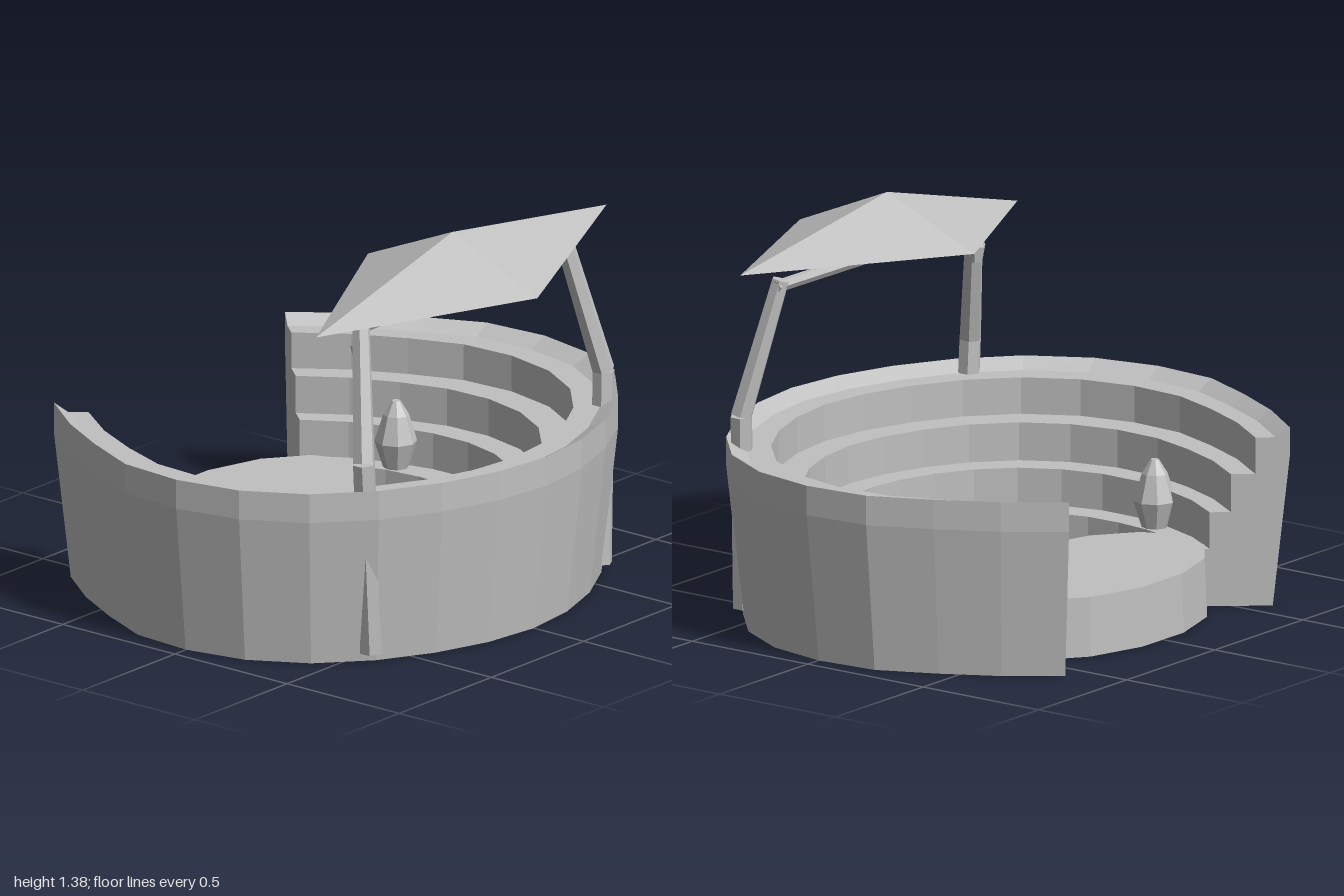
import * as THREE from 'three';
import { ConvexGeometry } from 'three/addons/geometries/ConvexGeometry.js';

const stone = new THREE.MeshStandardMaterial({ color: 0xc0c0c0, flatShading: true, side: THREE.DoubleSide });
stone.name = 'stone grey';

const V = (x, y, z) => new THREE.Vector3(x, y, z);

function part(parent, name, geometry) {
  const mesh = new THREE.Mesh(geometry, stone);
  mesh.name = name;
  parent.add(mesh);
  return mesh;
}

// Tapered straight beam between two points
function beam(parent, name, a, b, ra, rb, sides = 6) {
  const dir = b.clone().sub(a);
  const mesh = part(parent, name, new THREE.CylinderGeometry(rb, ra, dir.length(), sides));
  mesh.position.copy(a).add(b).multiplyScalar(0.5);
  mesh.quaternion.setFromUnitVectors(V(0, 1, 0), dir.normalize());
}

// Stepped bowl: a terrace profile swept around a slightly uneven ring with a gap at the back
function bowlGeometry() {
  const step = THREE.MathUtils.degToRad(14), cz = -0.1;
  // outer and inner radius every 14 degrees from the front to the gap
  const outer = [0.935, 0.935, 0.945, 0.97, 1.0, 1.012, 1.005, 0.99, 0.95, 0.95, 0.975];
  const inner = [0.5, 0.5, 0.505, 0.515, 0.525, 0.53, 0.535, 0.54, 0.56, 0.59, 0.625];
  // [share of the way from outer to inner edge, height, taper]
  const profile = [
    [0, 0, 0.94], [0, 0.53, 1], [0, 0.635, 1], [0.14, 0.6, 1], [0.34, 0.6, 1], [0.34, 0.47, 1],
    [0.58, 0.47, 1], [0.58, 0.335, 1], [0.79, 0.335, 1], [0.79, 0.205, 1], [1, 0.205, 1], [1, 0, 1],
  ];
  const n = profile.length, last = 20, pos = [], idx = [];
  for (let i = 0; i <= last; i++) {
    const k = Math.abs(i - 10), a = (i - 10) * step;
    for (const [f, y, taper] of profile) {
      const r = THREE.MathUtils.lerp(outer[k], inner[k], f) * taper;
      pos.push(r * Math.sin(a), y, cz + r * Math.cos(a));
    }
  }
  for (let i = 0; i < last; i++) {
    for (let j = 0; j < n; j++) {
      const a = i * n + j, d = i * n + (j + 1) % n, b = a + n, c = d + n;
      idx.push(a, b, c, a, c, d);
    }
  }
  // end walls at the gap
  const contour = profile.map(([f, y, t]) => new THREE.Vector2((1 - 0.4 * f) * t, y));
  for (const [a, b, c] of THREE.ShapeUtils.triangulateShape(contour, [])) {
    const e = last * n;
    idx.push(a, b, c, e + a, e + c, e + b);
  }
  const geo = new THREE.BufferGeometry();
  geo.setAttribute('position', new THREE.Float32BufferAttribute(pos, 3));
  geo.setIndex(idx);
  const flat = geo.toNonIndexed();
  flat.computeVertexNormals();
  return flat;
}

export function createModel() {
  const model = new THREE.Group();
  model.name = 'amphitheatre';

  part(model, 'terracedBowl', bowlGeometry());

  // Oval stage: top and flared wall, open underneath
  const stage = part(model, 'stage', new THREE.LatheGeometry(
    [new THREE.Vector2(1.02, 0), new THREE.Vector2(1, 0.21), new THREE.Vector2(0, 0.21)], 14, Math.PI / 14));
  stage.scale.set(0.52, 1, 0.318);
  stage.position.z = -0.46;

  // Bent posts rising through the wall
  for (const side of [-1, 1]) {
    const post = new THREE.Group();
    post.name = side < 0 ? 'rightPost' : 'leftPost';
    model.add(post);
    const knee = V(side * 0.65, 0.72, 0.555);
    beam(post, 'lowerPost', V(side * 0.62, 0.03, 0.565), knee, 0.042, 0.04);
    beam(post, 'upperPost', knee, V(side * 0.55, side < 0 ? 1.18 : 1.2, 0.46), 0.04, 0.032);
  }
  beam(model, 'crossbar', V(-0.57, 1.17, 0.46), V(0.58, 1.18, 0.46), 0.022, 0.022);

  // Diamond canopy, slightly tilted
  part(model, 'canopy', new ConvexGeometry([
    V(-0.79, 1.195, 0.457), V(0.785, 1.265, 0.457), V(-0.05, 1.225, 0.835),
    V(-0.05, 1.225, 0.08), V(-0.05, 1.385, 0.457), V(-0.05, 1.135, 0.457),
  ]));

  // Hanging lantern
  const lantern = part(model, 'lantern', new THREE.LatheGeometry(
    [[0, 0], [0.026, 0.005], [0.037, 0.06], [0.015, 0.12], [0, 0.12]].map(p => new THREE.Vector2(...p)), 6));
  lantern.position.set(-0.525, 1.035, 0.437);

  // Bud-shaped ornaments on the lowest terrace
  for (const side of [-1, 1]) {
    const bud = part(model, 'terraceOrnament', new THREE.LatheGeometry(
      [[0, 0], [0.045, 0], [0.075, 0.095], [0.045, 0.19], [0.015, 0.24], [0, 0.24]]
        .map(p => new THREE.Vector2(...p)), 8));
    bud.position.set(side * 0.57, 0.205, -0.305);
  }
  return model;
}
